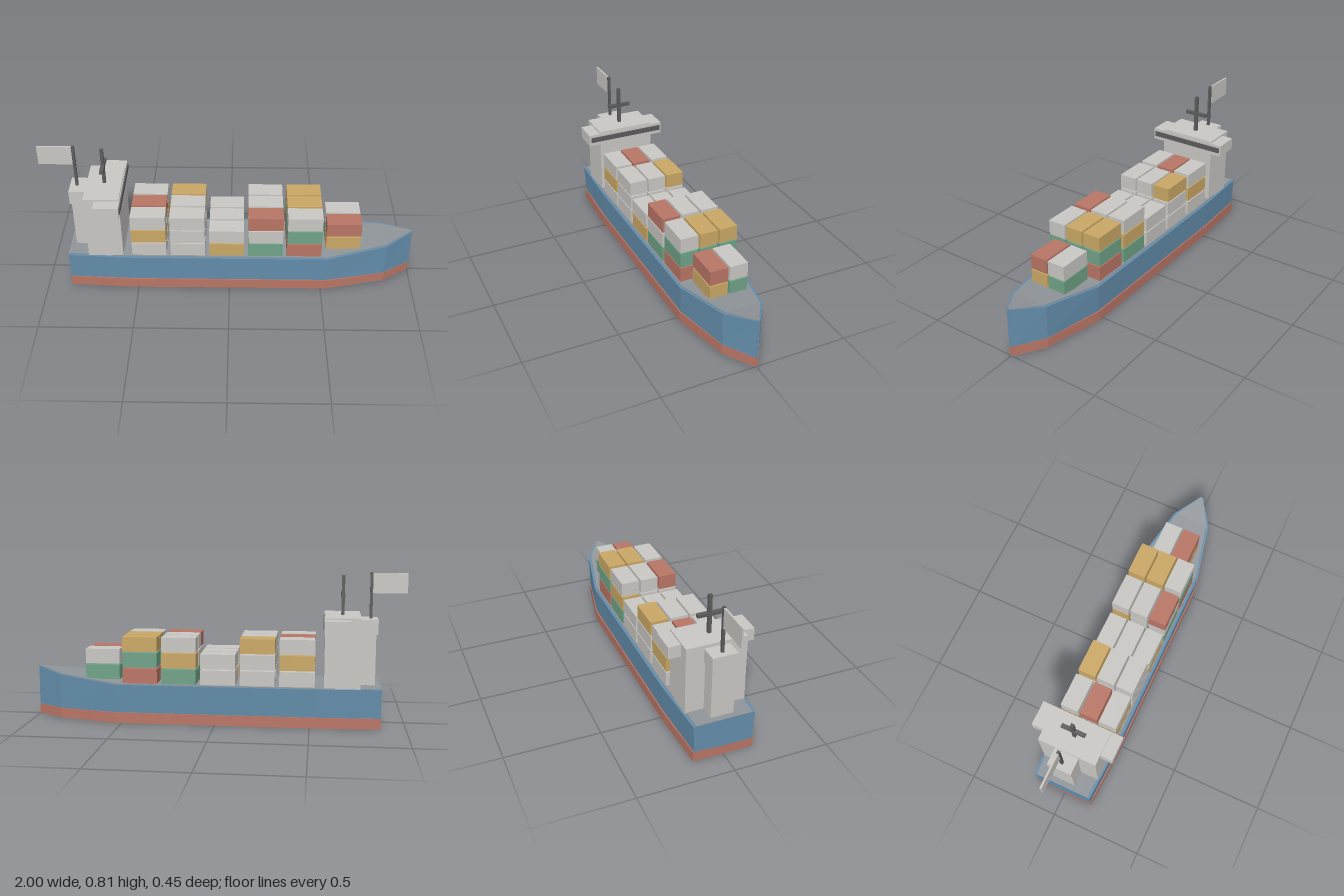
import * as THREE from 'three';

const mat = (name, color) => {
  const m = new THREE.MeshStandardMaterial({ color });
  m.name = name;
  return m;
};

// Closed solid lofted along x; each station is [x, bottomY, bottomHalfWidth, topY, topHalfWidth]
function loft(stations) {
  const rings = stations.map(([x, yb, wb, yt, wt]) => [[x, yb, wb], [x, yt, wt], [x, yt, -wt], [x, yb, -wb]]);
  const pos = [];
  const quad = (a, b, c, d) => pos.push(...a, ...b, ...c, ...a, ...c, ...d);
  for (let i = 0; i < rings.length - 1; i++) {
    const p = rings[i], q = rings[i + 1];
    for (let k = 0; k < 4; k++) quad(p[k], q[k], q[(k + 1) % 4], p[(k + 1) % 4]);
  }
  quad(...rings[0]);
  quad(...[...rings[rings.length - 1]].reverse());
  const g = new THREE.BufferGeometry();
  g.setAttribute('position', new THREE.Float32BufferAttribute(pos, 3));
  g.computeVertexNormals();
  return g;
}

export function createModel() {
  const ship = new THREE.Group();
  ship.name = 'cargoShip';
  const blue = mat('hullBlue', 0x648eac);
  const red = mat('rustRed', 0xb87565);
  const deckGrey = mat('deckGrey', 0x90959a);
  const white = mat('offWhite', 0xc9c7c3);
  const yellow = mat('ochre', 0xcaa865);
  const green = mat('green', 0x6fa287);
  const dark = mat('darkGrey', 0x5c5c5c);

  const add = (name, geometry, material, parent = ship) => {
    const m = new THREE.Mesh(geometry, material);
    m.name = name;
    parent.add(m);
    return m;
  };
  // Box given by its extents on each axis
  const box = (name, material, [x0, x1], [y0, y1], [z0, z1], parent) =>
    add(name, new THREE.BoxGeometry(x1 - x0, y1 - y0, z1 - z0), material, parent)
      .position.set((x0 + x1) / 2, (y0 + y1) / 2, (z0 + z1) / 2);

  // Upper hull, flared slightly and sweeping up to the bow
  const outline = [
    [-0.87, 0.21, 0.162], [-0.52, 0.208, 0.178], [0.53, 0.208, 0.178],
    [0.85, 0.243, 0.108], [1.0, 0.27, 0.008],
  ];
  add('hull', loft(outline.map(([x, y, w]) => [x, 0.05, w * 0.955, y, w])), blue);

  // Deck plate set in from the hull edge
  add('deck', loft(outline.map(([x, y, w]) =>
    [Math.min(x, 0.995), y - 0.002, Math.max(w - 0.014, 0.005), y + 0.004, Math.max(w - 0.014, 0.005)])), deckGrey);

  // Lower hull band, with the blue keel plate under the bow
  add('lowerHull', loft([
    [-0.87, 0, 0.16], [-0.54, 0, 0.177], [0.53, 0, 0.177], [0.68, 0, 0.144],
    [0.7, 0.002, 0.139], [0.85, 0.002, 0.106], [1.0, 0.002, 0.01],
  ].map(([x, y, w]) => [x, y, w, 0.057, w])), red);
  add('bowKeelPlate', loft([[0.7, 0.139], [0.85, 0.106], [1.0, 0.01]].map(([x, w]) => [x, 0, w, 0.002, w])), blue);

  // Containers: bays from stern to bow, each row listed from the bottom tier up
  const paint = { w: white, y: yellow, g: green, r: red };
  const cargo = new THREE.Group();
  cargo.name = 'containers';
  ship.add(cargo);
  const stack = (x, y, z, tiers) => [...tiers].forEach((c, t) => {
    const y0 = y + t * 0.0855;
    box('container', paint[c], [x - 0.0925, x + 0.0925], [y0, y0 + 0.079], [z - 0.049, z + 0.049], cargo);
  });
  const bays = [ // rows at +z, middle, -z
    ['wyw', 'wwr', 'wyw'],
    ['www', 'www', 'wwy'],
    ['yw', 'ww', 'ww'],
    ['gwr', 'gww', 'gyw'],
    ['rgw', 'rgy', 'rgy'],
  ];
  bays.forEach((rows, i) => rows.forEach((tiers, r) =>
    stack(-0.4325 + i * 0.2085, 0.214, 0.109 - r * 0.109, tiers)));
  stack(0.615, 0.223, 0.054, 'yr');
  stack(0.615, 0.223, -0.054, 'gw');

  // Deckhouse with bridge wings and window band
  box('deckhouse', white, [-0.76, -0.573], [0.205, 0.58], [-0.159, 0.159]);
  box('bridgeWings', white, [-0.702, -0.569], [0.505, 0.571], [-0.224, 0.224]);
  box('bridgeWindows', dark, [-0.57, -0.564], [0.526, 0.555], [-0.214, 0.214]);

  // Funnel behind the deckhouse
  box('funnel', white, [-0.84, -0.76], [0.205, 0.487], [-0.06, 0.06]);
  box('funnelCap', white, [-0.85, -0.758], [0.485, 0.562], [-0.066, 0.066]);

  // Mast with crossbar
  box('mast', dark, [-0.674, -0.657], [0.575, 0.788], [-0.009, 0.009]);
  box('mastCrossbar', dark, [-0.676, -0.655], [0.676, 0.693], [-0.065, 0.065]);

  // Flag and pole at the stern
  box('flagPole', dark, [-0.82, -0.805], [0.56, 0.805], [-0.007, 0.007]);
  box('flag', white, [-1.0, -0.812], [0.696, 0.802], [-0.005, 0.005]);

  return ship;
}
